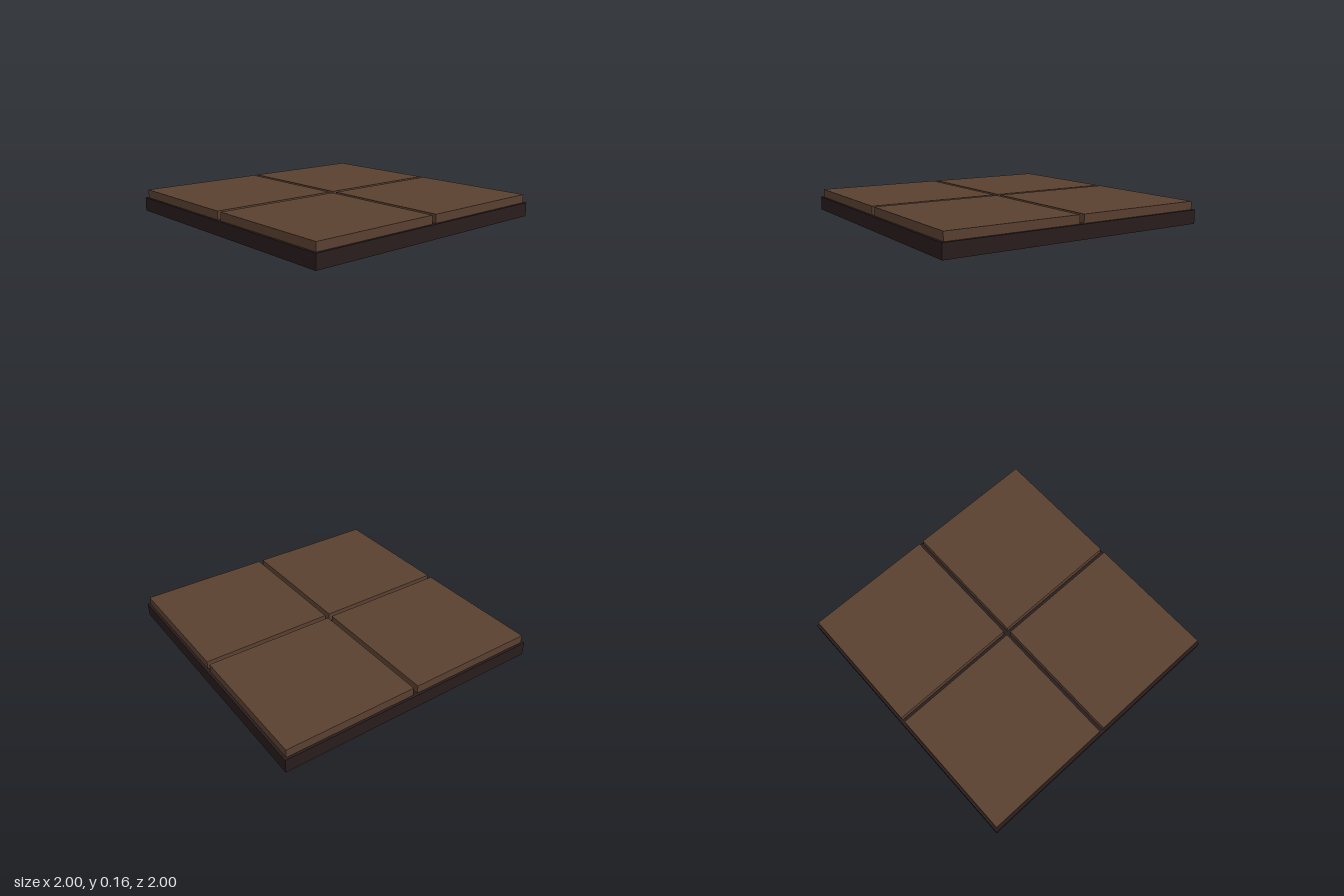
import * as THREE from 'three';

export function createModel() {
  const model = new THREE.Group();
  model.name = 'floorTile';

  const darkBase = new THREE.MeshStandardMaterial({ color: 0x291d1d, side: THREE.DoubleSide });
  darkBase.name = 'dark base';
  const brownSlab = new THREE.MeshStandardMaterial({ color: 0x5a4031 });
  brownSlab.name = 'brown slab';

  // Hollow base tray: a thin-walled box with its underside left open
  const baseHeight = 0.1;
  const baseGeometry = new THREE.BoxGeometry(2, baseHeight, 2);
  const faces = Array.from(baseGeometry.index.array);
  faces.splice(18, 6); // drop the bottom face
  baseGeometry.setIndex(faces);
  baseGeometry.clearGroups();
  const base = new THREE.Mesh(baseGeometry, darkBase);
  base.name = 'base';
  base.position.y = baseHeight / 2;
  model.add(base);

  // Four square slabs resting on the base, separated by narrow grooves
  const slabHeight = 0.06;
  const slabGeometry = new THREE.BoxGeometry(0.965, slabHeight, 0.965);
  for (const x of [-0.5, 0.5]) {
    for (const z of [-0.5, 0.5]) {
      const slab = new THREE.Mesh(slabGeometry, brownSlab);
      slab.name = (z > 0 ? 'front' : 'back') + (x > 0 ? 'Left' : 'Right') + 'Slab';
      slab.position.set(x, baseHeight + slabHeight / 2, z);
      model.add(slab);
    }
  }
  return model;
}
